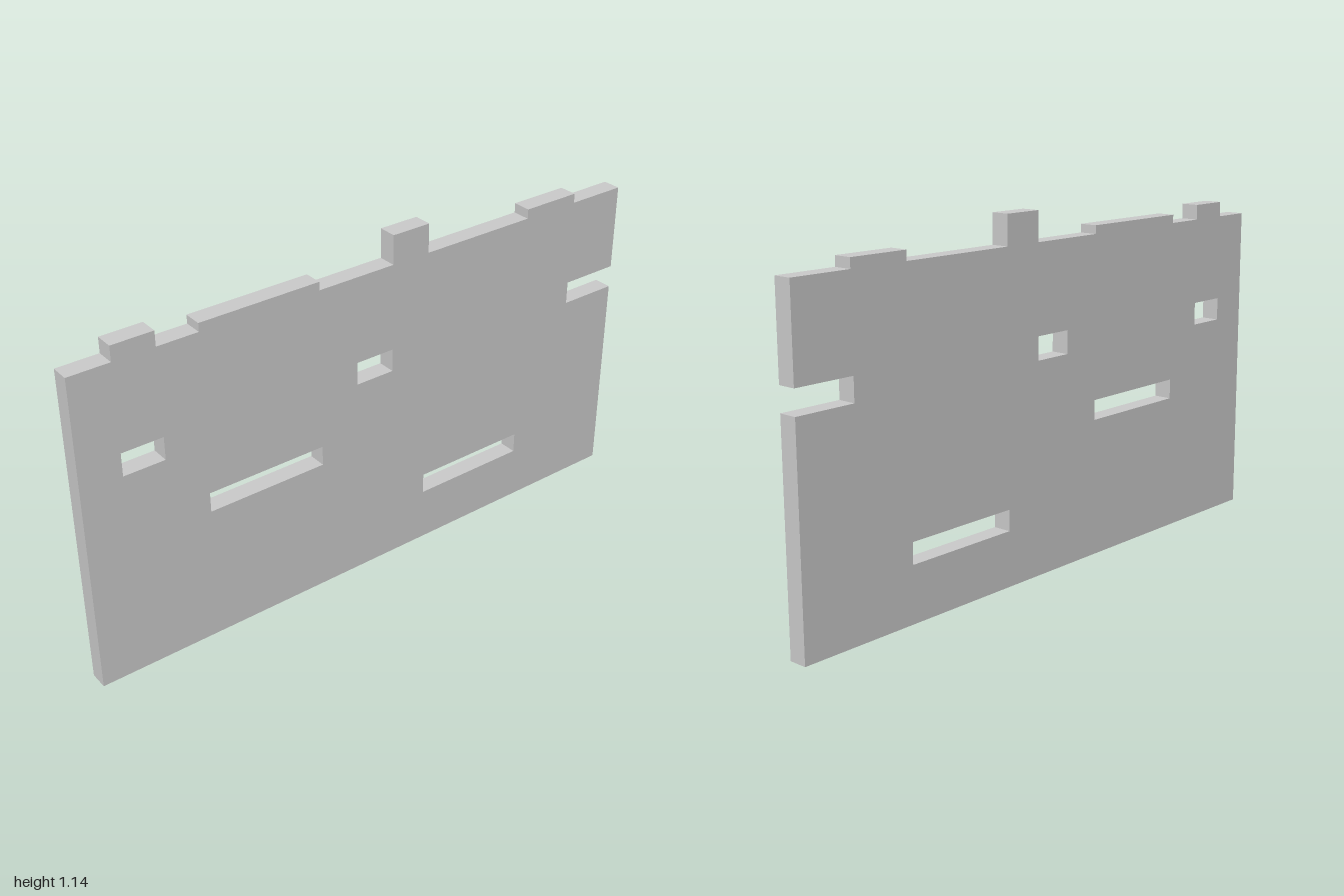
import * as THREE from 'three';

const THICKNESS = 0.06;
const TOP = 1.045;

// Raised tabs along the top edge: [left, right, top]
const TABS = [
  [-0.867, -0.733, 1.094],
  [-0.6, -0.2, 1.072],
  [0.067, 0.2, 1.14],
  [0.6, 0.8, 1.076],
];

// Rectangular openings: [left, right, bottom, top]
const SLOTS = [
  [-0.867, -0.733, 0.686, 0.761],
  [-0.067, 0.067, 0.686, 0.761],
  [-0.6, -0.2, 0.451, 0.516],
  [0.2, 0.6, 0.179, 0.247],
];

// Notch cut into the +x edge: [inner x, bottom, top]
const NOTCH = [0.8, 0.686, 0.761];

const toPoints = (pairs) => pairs.map(([x, y]) => new THREE.Vector2(x, y));

export function createModel() {
  const model = new THREE.Group();
  model.name = 'slottedPanel';

  // Outline, counter-clockwise: bottom edge, notched side, then the top from +x to -x
  const [nx, n0, n1] = NOTCH;
  const outline = [[-1, 0], [1, 0], [1, n0], [nx, n0], [nx, n1], [1, n1], [1, TOP]];
  for (const [l, r, t] of [...TABS].reverse()) {
    outline.push([r, TOP], [r, t], [l, t], [l, TOP]);
  }
  outline.push([-1, TOP]);
  const shape = new THREE.Shape(toPoints(outline));

  // Openings through the panel
  for (const [l, r, b, t] of SLOTS) {
    shape.holes.push(new THREE.Path(toPoints([[l, b], [l, t], [r, t], [r, b]])));
  }

  const geometry = new THREE.ExtrudeGeometry(shape, { depth: THICKNESS, bevelEnabled: false });
  geometry.translate(0, 0, -THICKNESS / 2);

  const panel = new THREE.Mesh(geometry, new THREE.MeshStandardMaterial({ color: 0xcccccc }));
  panel.name = 'panel';
  model.add(panel);
  return model;
}
